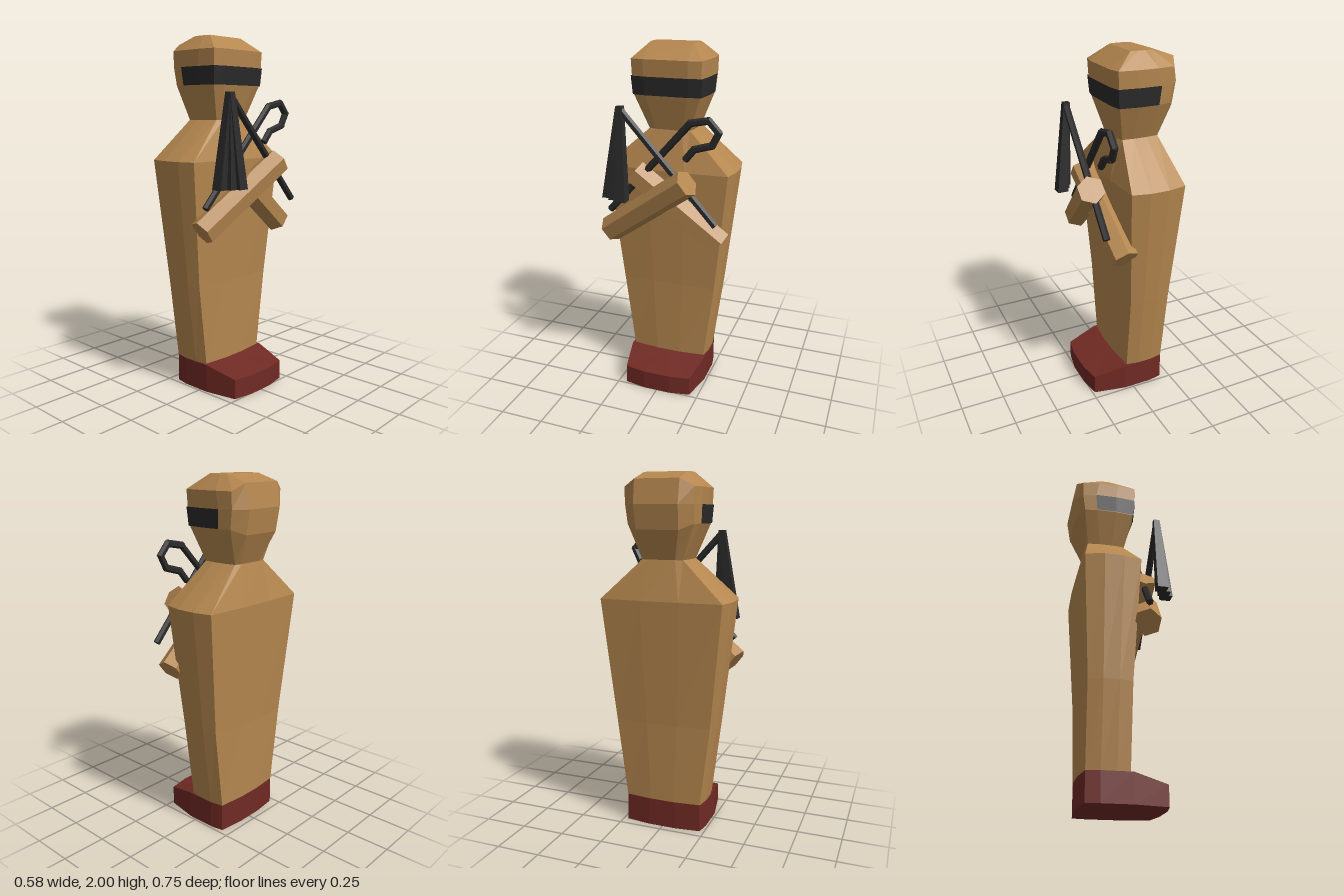
import * as THREE from 'three';

const mat = (color) => new THREE.MeshStandardMaterial({ color, flatShading: true });
const V = (x, y, z) => new THREE.Vector3(x, y, z);

// Skin a list of equal-length rings (bottom to top), closing both ends with fans.
function loft(rings, topCentre) {
  const pos = [];
  const tri = (...pts) => pts.forEach((p) => pos.push(p.x, p.y, p.z));
  const centre = (r) => r.reduce((s, p) => s.add(p), V(0, 0, 0)).divideScalar(r.length);
  const n = rings[0].length;
  const top = rings[rings.length - 1];
  const c0 = centre(rings[0]);
  const c1 = topCentre || centre(top);
  for (let j = 0; j < n; j++) {
    const k = (j + 1) % n;
    for (let i = 0; i < rings.length - 1; i++) {
      const a = rings[i], b = rings[i + 1];
      tri(a[j], b[j], a[k]);
      tri(b[j], b[k], a[k]);
    }
    tri(c0, rings[0][j], rings[0][k]);
    tri(c1, top[k], top[j]);
  }
  const g = new THREE.BufferGeometry();
  g.setAttribute('position', new THREE.Float32BufferAttribute(pos, 3));
  g.computeVertexNormals();
  return g;
}

// Twelve-point bulged rectangle: back x, front x, half width, corner insets,
// how far out the mid points sit, and the height of the back mid points.
function section(y, xb, xf, w, insetB, insetF, f, yBack = y) {
  const half = [
    V(xf, y, f * w), V(xf - insetF, y, 0.94 * w),
    V(xb + (xf - xb) * 0.67, y, w), V(xb + (xf - xb) * 0.35, y, w),
    V(xb + insetB, y, 0.94 * w), V(xb, yBack, f * w),
  ];
  const other = half.map((p) => V(p.x, p.y, -p.z)).reverse();
  return [...half, ...other];
}

export function createModel() {
  const model = new THREE.Group();
  const wood = mat(0xb5874f), dark = mat(0x2a2a2a), red = mat(0x702a24);
  const add = (name, geo, material, parent = model) => {
    const m = new THREE.Mesh(geo, material);
    m.name = name;
    parent.add(m);
    return m;
  };
  // Six-sided bar between two points
  const bar = (name, a, b, r, material, parent, extra = 0) => {
    const d = b.clone().sub(a);
    const m = add(name, new THREE.CylinderGeometry(r, r, d.length() + extra, 6), material, parent);
    m.position.copy(a).add(b).multiplyScalar(0.5);
    m.quaternion.setFromUnitVectors(V(0, 1, 0), d.normalize());
    return m;
  };

  // Wrapped body and shoulders
  add('body', loft([
    section(0.16, -0.21, 0.05, 0.237, 0.015, 0.015, 0.3),
    section(0.62, -0.215, 0.055, 0.298, 0.015, 0.015, 0.3),
    section(1.32, -0.25, 0.09, 0.375, 0.012, 0.012, 0.3),
    section(1.54, -0.2, 0.03, 0.125, 0.01, 0.01, 0.6),
  ]), wood);

  // Head, bulging at the back
  add('head', loft([
    section(1.54, -0.2, 0.03, 0.125, 0.01, 0.01, 0.6),
    section(1.73, -0.27, 0.08, 0.2, 0.05, 0.012, 0.6, 1.7),
    section(1.83, -0.29, 0.09, 0.207, 0.055, 0.014, 0.6),
    section(1.92, -0.268, 0.097, 0.21, 0.033, 0.016, 0.6, 1.96),
    section(2, -0.14, -0.02, 0.132, 0, 0, 0.94),
  ]), wood);

  // Dark band across the face, from one side of the head to the other
  const bandRow = (s) => [...s.slice(8), ...s.slice(0, 4)]
    .map((p) => V(-0.09 + (p.x + 0.09) * 1.03, p.y, p.z * 1.025));
  const low = bandRow(section(1.73, -0.27, 0.08, 0.2, 0.05, 0.012, 0.6));
  const high = bandRow(section(1.83, -0.29, 0.09, 0.207, 0.055, 0.014, 0.6));
  const band = new THREE.BufferGeometry().setFromPoints([...low, ...high]);
  const idx = [];
  for (let j = 0; j < 7; j++) idx.push(j, j + 8, j + 1, j + 8, j + 9, j + 1);
  band.setIndex(idx);
  band.computeVertexNormals();
  const bandMat = mat(0x2a2a2a);
  bandMat.side = THREE.DoubleSide;
  add('faceBand', band, bandMat);

  // Foot block with a sloping toe
  const side = [[0.257, 0.08], [0.235, 0.2], [0.05, 0.237], [-0.12, 0.237], [-0.195, 0.223], [-0.212, 0.08]];
  const outline = [...side, ...side.map(([x, z]) => [x, -z]).reverse()];
  add('foot', loft([
    outline.map(([x, z]) => V(x, 0, z)),
    outline.map(([x, z]) => V(x, x > 0.06 ? 0.112 : 0.16, z)),
  ], V(0.05, 0.16, 0)), red);

  // Crossed forearms
  bar('leftForearm', V(0.112, 0.945, 0.33), V(0.225, 1.31, -0.17), 0.077, wood);
  bar('rightForearm', V(0.1, 0.94, -0.325), V(0.137, 1.315, 0.16), 0.077, wood);

  // Crook: a straight staff ending in an angular hook
  const crook = new THREE.Group();
  crook.name = 'crook';
  model.add(crook);
  const path = [[0.13, 1.08, 0.315], [0.16, 1.615, -0.165], [0.162, 1.635, -0.265],
    [0.161, 1.575, -0.32], [0.158, 1.505, -0.285], [0.155, 1.475, -0.185], [0.153, 1.42, -0.14]].map((p) => V(...p));
  for (let i = 0; i < path.length - 1; i++) {
    bar(i ? 'hook' : 'staff', path[i], path[i + 1], 0.02, dark, crook, 0.016);
  }

  // Flail: a rod with three flaring strands
  const flail = new THREE.Group();
  flail.name = 'flail';
  model.add(flail);
  bar('rod', V(0.208, 1.08, -0.325), V(0.208, 1.672, 0.212), 0.02, dark, flail);
  const square = (x, y, z, h) => [V(x + h, y, z - h), V(x + h, y, z + h), V(x - h, y, z + h), V(x - h, y, z - h)];
  for (const [x, z] of [[0.258, 0.192], [0.235, 0.238], [0.208, 0.288]]) {
    add('strand', loft([square(x, 1.18, z, 0.031), square(0.207, 1.688, 0.212, 0.018)]), dark, flail);
  }
  return model;
}
